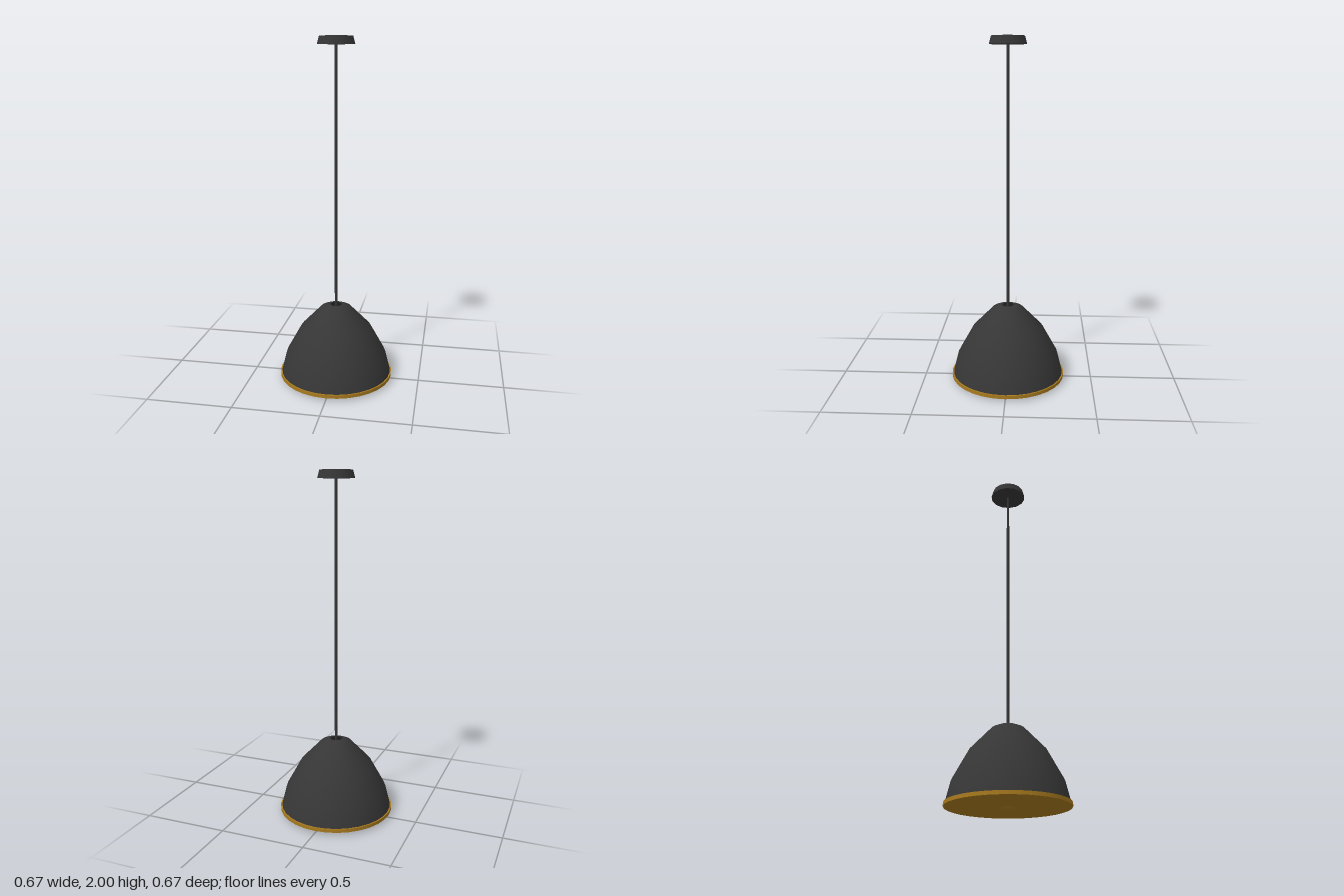
import * as THREE from 'three';

const black = new THREE.MeshStandardMaterial({ color: 0x363636, side: THREE.DoubleSide });
black.name = 'matte black';
const gold = new THREE.MeshStandardMaterial({ color: 0xa87a1e });
gold.name = 'brass gold';

function lathe(points, sides) {
  return new THREE.LatheGeometry(points.map(([r, y]) => new THREE.Vector2(r, y)), sides);
}

export function createModel() {
  const model = new THREE.Group();
  model.name = 'pendantLamp';
  const add = (name, geometry, material, y = 0) => {
    const mesh = new THREE.Mesh(geometry, material);
    mesh.name = name;
    mesh.position.y = y;
    model.add(mesh);
  };

  // Ceiling canopy: a shallow fourteen-sided tapered cap
  add('canopy', new THREE.CylinderGeometry(0.093, 0.105, 0.045, 14), black, 1.9775);

  // Hanging rod, running down into the shade
  add('rod', new THREE.CylinderGeometry(0.008, 0.008, 1.585, 12), black, 1.2065);

  // Open-topped bell shade
  add('shade', lathe([
    [0.328, 0.03], [0.298, 0.15], [0.21, 0.31], [0.09, 0.435], [0.055, 0.45], [0.034, 0.453],
  ], 32), black);

  // Gold diffuser disc that closes the shade and shows as a thin rim
  add('diffuser', new THREE.CylinderGeometry(0.335, 0.335, 0.02, 32), gold, 0.025);

  // Small rounded boss under the diffuser
  add('boss', lathe([
    [0, 0], [0.016, 0.002], [0.03, 0.007], [0.038, 0.016],
  ], 16), gold);

  return model;
}
